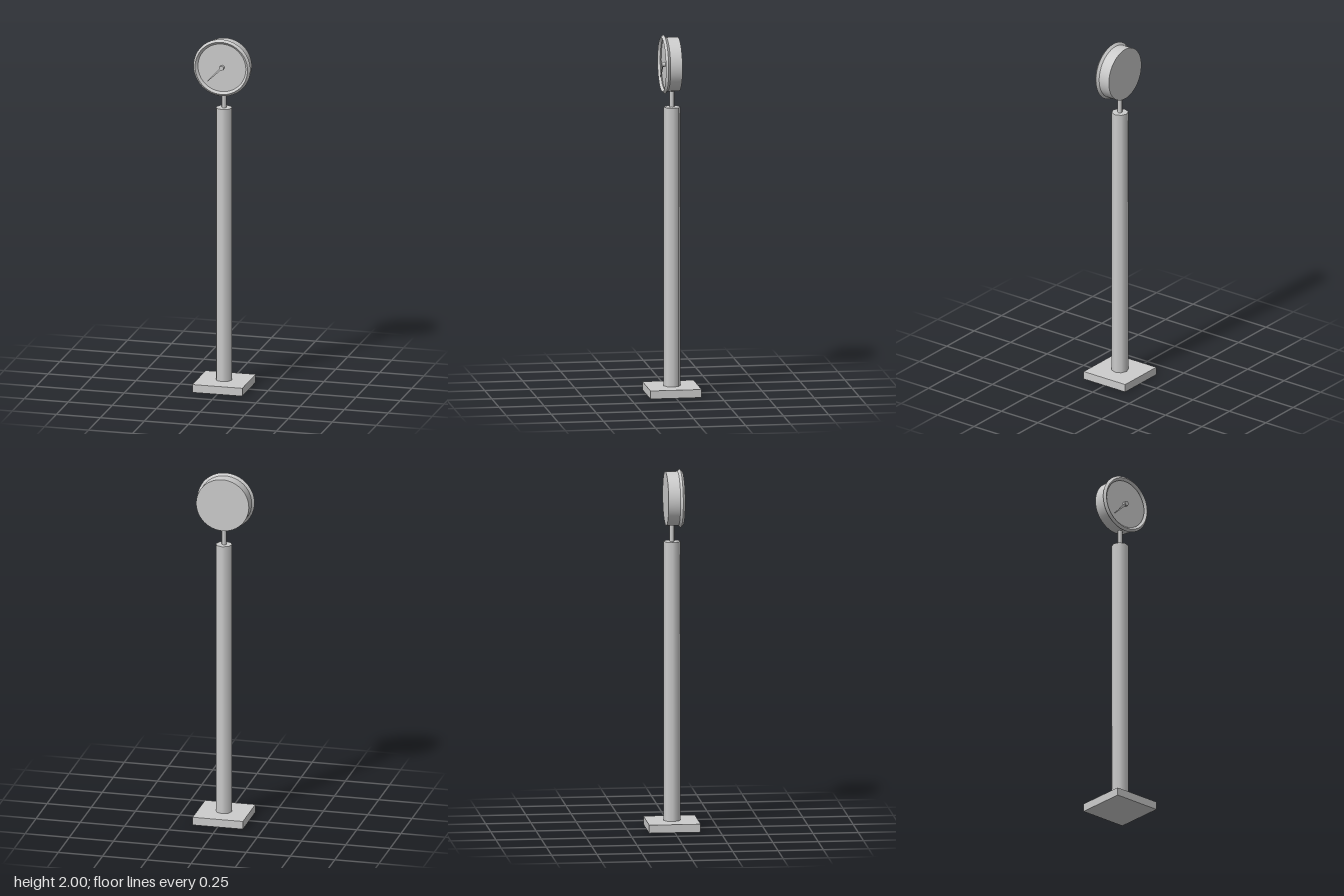
import * as THREE from 'three';
import { toCreasedNormals } from 'three/addons/utils/BufferGeometryUtils.js';

export function createModel() {
  const model = new THREE.Group();
  model.name = 'dialOnPost';
  const grey = new THREE.MeshStandardMaterial({ color: 0xcccccc });
  grey.name = 'grey';

  const add = (parent, name, geometry, x, y, z) => {
    const mesh = new THREE.Mesh(geometry, grey);
    mesh.name = name;
    mesh.position.set(x, y, z);
    parent.add(mesh);
    return mesh;
  };
  // Disc or drum with its axis along z, between two depths
  const drum = (radius, z0, z1, sides) =>
    new THREE.CylinderGeometry(radius, radius, z1 - z0, sides)
      .rotateX(Math.PI / 2).translate(0, 0, (z0 + z1) / 2);

  // Stand: square foot, eight-sided post and thin neck
  add(model, 'base', new THREE.BoxGeometry(0.284, 0.045, 0.284), 0, 0.0225, 0);
  add(model, 'post', new THREE.CylinderGeometry(0.046, 0.046, 1.56, 8), 0, 0.82, 0);
  add(model, 'neck', new THREE.CylinderGeometry(0.013, 0.013, 0.12, 8), 0, 1.65, 0);

  // Gauge head
  const gauge = new THREE.Group();
  gauge.name = 'gauge';
  gauge.position.y = 1.838;
  model.add(gauge);
  add(gauge, 'housing', drum(0.149, -0.035, 0.032, 48), 0, 0, 0);
  add(gauge, 'dialFace', drum(0.143, 0.031, 0.037, 48), 0, 0, 0);

  // Bezel with a diamond section
  const bezel = toCreasedNormals(new THREE.TorusGeometry(0.149, 0.013, 4, 48), 0.6);
  add(gauge, 'bezel', bezel, 0, 0, 0.044);

  // Hub and tapered needle pointing down to one side
  add(gauge, 'hub', drum(0.013, 0.036, 0.058, 12), 0, 0, 0);
  const outline = new THREE.Shape([
    new THREE.Vector2(0, -0.006), new THREE.Vector2(0.112, -0.002),
    new THREE.Vector2(0.112, 0.002), new THREE.Vector2(0, 0.006),
  ]);
  const needle = new THREE.ExtrudeGeometry(outline, { depth: 0.006, bevelEnabled: false });
  add(gauge, 'needle', needle, 0, 0, 0.047).rotation.z = -Math.PI * 0.75;

  return model;
}
